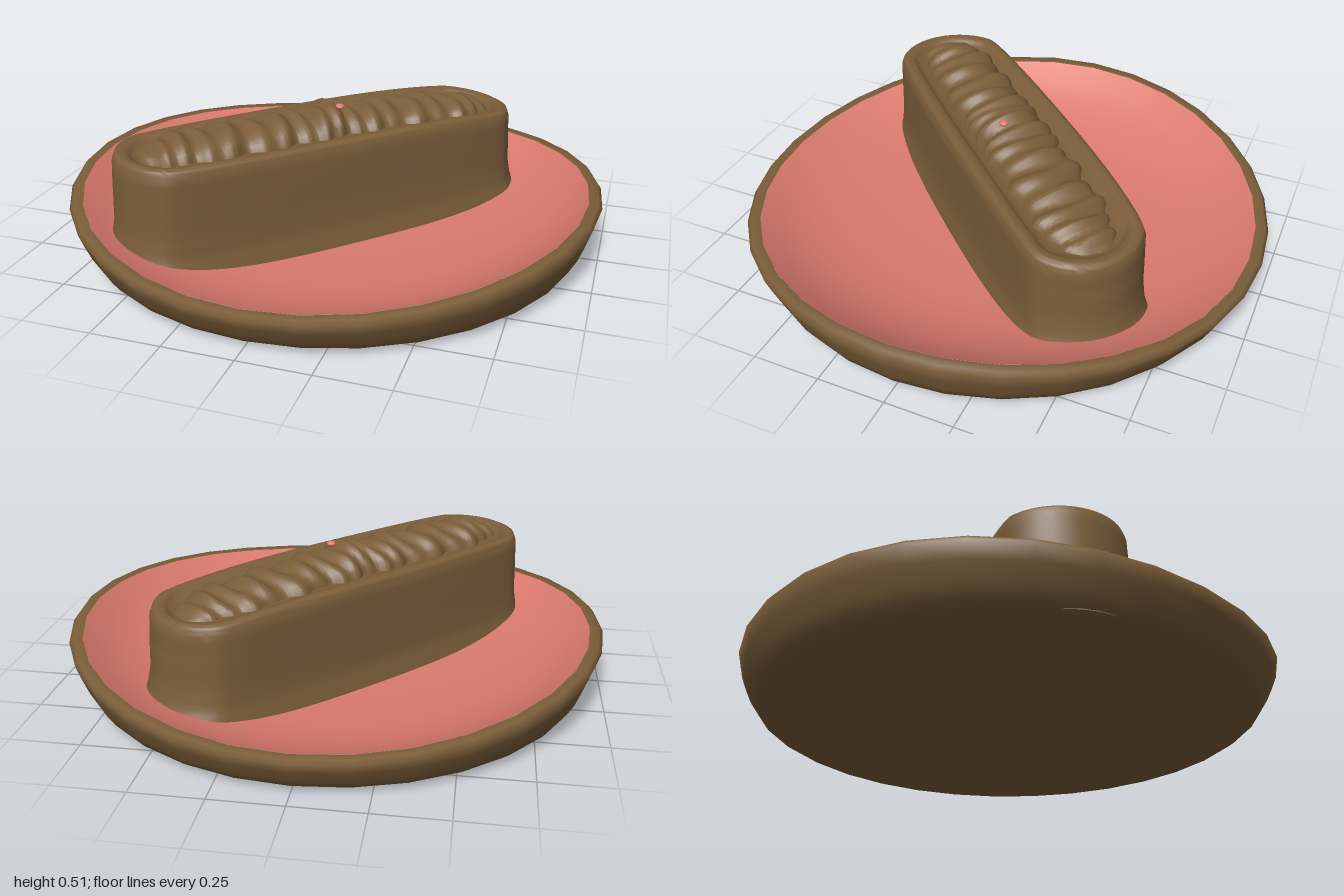
import * as THREE from 'three';
import { mergeVertices, toCreasedNormals } from 'three/addons/utils/BufferGeometryUtils.js';
import { ParametricGeometry } from 'three/addons/geometries/ParametricGeometry.js';

// Surface from a rule f(u, v, target), welded at its seams, sharp edges kept
function surface(f, nu, nv, crease) {
  const g = new ParametricGeometry(f, nu, nv);
  g.deleteAttribute('normal');
  g.deleteAttribute('uv');
  return toCreasedNormals(mergeVertices(g, 1e-4), crease);
}

// Point on a list of rows of numbers, v from 0 to 1
function sample(profile, v) {
  const t = v * (profile.length - 1);
  const i = Math.min(Math.floor(t + 1e-6), profile.length - 2);
  const k = t - i;
  return profile[i].map((a, n) => a + (profile[i + 1][n] - a) * k);
}

// Round dish whose rim rises towards the left and right sides;
// profile rows are [radius, share of the way from floor to rim]
function dishSurface(profile, floor, crease) {
  return surface((u, v, p) => {
    const a = u * Math.PI * 2;
    const [r, h] = sample(profile, v);
    const rim = 0.15 + 0.075 * Math.cos(a) ** 2;
    p.set(r * Math.cos(a), floor + h * (rim - floor), -r * 0.99 * Math.sin(a));
  }, 32, profile.length - 1, crease);
}

// Long body with rounded ends: [side radius, height, half length before the end]
const bodyProfile = [
  [0.270, 0.015, 0.605], [0.258, 0.06, 0.60], [0.246, 0.11, 0.585], [0.241, 0.18, 0.575],
  [0.239, 0.32, 0.572], [0.237, 0.40, 0.57], [0.228, 0.425, 0.57], [0.210, 0.433, 0.57],
  [0.186, 0.427, 0.57], [0.165, 0.41, 0.57], [0.08, 0.405, 0.56], [0, 0.405, 0.56]
];

// The top sinks a little towards one end
const sag = (x) => 0.032 * Math.max(0, x / 0.75) ** 2.5;

// Outline with gently bowed sides and full ends
function bodyPoint(u, v, p) {
  const a = u * Math.PI * 2;
  const [r, y, half] = sample(bodyProfile, v);
  const c = Math.cos(a);
  const along = Math.sin(Math.PI / 2 * THREE.MathUtils.clamp(c * 1.9, -1, 1));
  const x = r * c + half * along;
  p.set(x, y - (y > 0.3 ? sag(x) : 0), -r * Math.sin(a));
}

// Piped filling: an arched strip with uneven curved folds
function fillingPoint(u, v, p) {
  const x = (u * 2 - 1) * 0.73;
  const s = v * 2 - 1;
  const end = Math.sqrt(Math.max(0, 1 - Math.abs(x / 0.73) ** 9));
  const fold = Math.sin(x * 76 + 1.8 * s * s + 1.1 * s + 2 * Math.sin(x * 9));
  const fold2 = Math.sin(x * 31 - 2.5 * s + 1);
  const width = (0.137 + 0.007 * fold + 0.01 * fold2) * end;
  const arch = Math.sqrt(Math.max(0, 1 - s * s));
  const swell = 0.077 + 0.018 * Math.exp(-((x / 0.07) ** 2)) - 0.04 * Math.max(0, x);
  const y = 0.4 - sag(x) + arch * end * (swell + 0.009 * fold + 0.006 * fold2);
  p.set(x, y, -s * width);
}

export function createModel() {
  const brown = new THREE.MeshStandardMaterial({ color: 0x7a5d39 });
  brown.name = 'brown';
  const pink = new THREE.MeshStandardMaterial({ color: 0xdb7a6e });
  pink.name = 'pink';

  const group = new THREE.Group();
  const add = (name, geometry, material, parent = group) => {
    const mesh = new THREE.Mesh(geometry, material);
    mesh.name = name;
    parent.add(mesh);
    return mesh;
  };

  // Plate: underside, outer wall and softly rounded rim
  add('plateShell', dishSurface([
    [0, 0], [0.5, 0], [0.87, 0], [0.905, 0.05], [0.932, 0.15], [0.957, 0.36],
    [0.979, 0.64], [0.998, 0.91], [0.985, 0.99], [0.95, 0.97]
  ], 0, 2.6), brown);

  // Plate: hollow inside, flat in the middle and curving up to the rim
  const hollow = [];
  for (let i = 0; i <= 14; i++) {
    const t = 1 - i / 14;
    hollow.push([0.95 * t, 0.97 * t ** 4.4]);
  }
  add('plateInside', dishSurface(hollow, 0.035, 1), pink);

  // Cake lying diagonally across the plate
  const cake = new THREE.Group();
  cake.name = 'cake';
  cake.position.set(-0.042, 0, 0.014);
  cake.rotation.y = 0.81;
  group.add(cake);
  add('cakeBody', surface(bodyPoint, 96, 33, 1.2), brown, cake);
  add('filling', surface(fillingPoint, 240, 24, 1.5), brown, cake);

  // Small fleck on the highest fold
  const fleck = add('fleck', new THREE.SphereGeometry(0.018, 10, 8), pink);
  fleck.scale.y = 0.6;
  fleck.position.set(0.02, 0.49, 0.01);

  return group;
}
